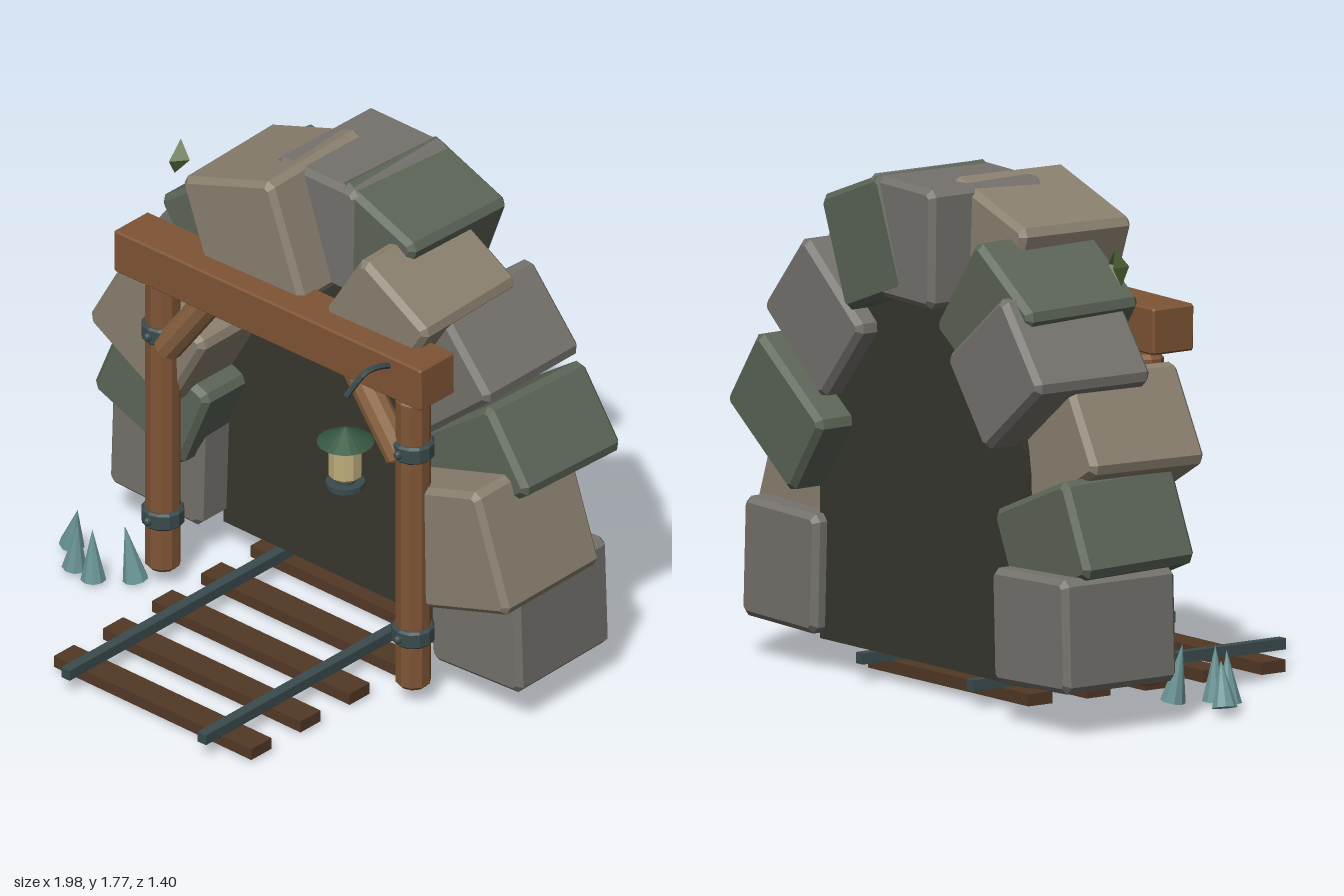
import * as THREE from 'three';

const mat = (color, extra = {}) =>
  new THREE.MeshStandardMaterial({ color, flatShading: true, ...extra });
const M = {
  tan: mat(0x8a806f), grey: mat(0x75726d), green: mat(0x5c6457),
  wood: mat(0x7f5435), brace: mat(0x8a6341), sleeper: mat(0x523826),
  metal: mat(0x3b4b4d), dark: mat(0x37372f), glow: mat(0xbfae7c),
  roof: mat(0x35573f), crystal: mat(0x6a9496),
  leaf: mat(0x566b3c, { side: THREE.DoubleSide }),
};

function add(parent, name, geometry, material, x = 0, y = 0, z = 0) {
  const mesh = new THREE.Mesh(geometry, material);
  mesh.name = name;
  mesh.position.set(x, y, z);
  parent.add(mesh);
  return mesh;
}

// Box with every edge chamfered, centred on its origin
function chamferBox(w, h, d, c) {
  const a = w / 2 - c, b = h / 2 - c, k = c * 0.6;
  const shape = new THREE.Shape([
    [-a + k, -b], [a - k, -b], [a, -b + k], [a, b - k],
    [a - k, b], [-a + k, b], [-a, b - k], [-a, -b + k],
  ].map(p => new THREE.Vector2(...p)));
  const g = new THREE.ExtrudeGeometry(shape, {
    depth: d - 2 * c, bevelEnabled: true, bevelSegments: 1, bevelSize: c, bevelThickness: c,
  });
  return g.translate(0, 0, c - d / 2);
}

// Round log with chamfered ends, centred on its origin
function log(r, h, sides, c) {
  const pts = [[0, -h / 2], [r - c, -h / 2], [r, c - h / 2], [r, h / 2 - c], [r - c, h / 2], [0, h / 2]];
  return new THREE.LatheGeometry(pts.map(p => new THREE.Vector2(...p)), sides);
}

// Turn a mesh built along y so that it runs from a to b
function aim(mesh, a, b) {
  mesh.position.copy(a).add(b).multiplyScalar(0.5);
  mesh.quaternion.setFromUnitVectors(new THREE.Vector3(0, 1, 0), b.clone().sub(a).normalize());
}

export function createModel() {
  const root = new THREE.Group();
  root.name = 'mineEntrance';

  // Arch stones: x, y, z centre, width, height, roll in degrees, colour
  const arch = new THREE.Group();
  arch.name = 'stoneArch';
  root.add(arch);
  [
    [0.75, 0.34, -0.38, 0.40, 0.41, 2, 'grey'],
    [0.73, 0.66, -0.29, 0.41, 0.45, 18, 'tan'],
    [0.666, 0.885, -0.455, 0.46, 0.33, 36, 'green'],
    [0.525, 1.22, -0.405, 0.43, 0.36, 40, 'grey'],
    [0.375, 1.39, -0.28, 0.41, 0.35, 58, 'tan'],
    [0.20, 1.53, -0.435, 0.40, 0.37, 70, 'green'],
    [-0.01, 1.56, -0.435, 0.38, 0.41, 1, 'grey'],
    [-0.21, 1.50, -0.275, 0.43, 0.45, 19, 'tan'],
    [-0.435, 1.35, -0.405, 0.38, 0.41, 36, 'green'],
    [-0.56, 1.19, -0.45, 0.37, 0.42, 52, 'grey'],
    [-0.665, 0.945, -0.30, 0.42, 0.37, -30, 'tan'],
    [-0.735, 0.635, -0.39, 0.43, 0.34, -22, 'green'],
    [-0.77, 0.345, -0.46, 0.42, 0.39, -2, 'grey'],
  ].forEach(([x, y, z, w, h, roll, colour], i) => {
    const stone = add(arch, 'archStone', chamferBox(w, h, 0.47, 0.02), M[colour], x, y, z);
    stone.rotation.set(0.02 * Math.sin(i * 2.1), 0.025 * Math.cos(i * 1.7), THREE.MathUtils.degToRad(roll));
  });

  // Dark tunnel filling the arch
  const hole = new THREE.Shape();
  hole.moveTo(-0.58, 0.11);
  hole.lineTo(0.58, 0.11);
  hole.lineTo(0.58, 0.75);
  hole.absellipse(0, 0.75, 0.58, 0.66, 0, Math.PI, false);
  hole.lineTo(-0.58, 0.11);
  add(root, 'tunnelFill', new THREE.ExtrudeGeometry(hole, { depth: 0.2, bevelEnabled: false, curveSegments: 12 }),
    M.dark, 0, 0, -0.56);

  // Timber frame: posts with iron bands and bolts, braces, lintel
  const frame = new THREE.Group();
  frame.name = 'timberFrame';
  root.add(frame);
  for (const side of [-1, 1]) {
    const x = side * 0.57 - 0.01;
    add(frame, 'post', log(0.061, 1.13, 10, 0.015), M.wood, x, 0.635, -0.06);
    for (const y of [0.275, 0.997]) {
      add(frame, 'band', log(0.074, 0.065, 12, 0.008), M.metal, x, y, -0.06);
      add(frame, 'bolt', new THREE.SphereGeometry(0.016, 8, 6), M.metal, x, y, 0.015);
    }
    const brace = add(frame, 'brace', log(0.052, 0.4, 10, 0.008), M.brace);
    aim(brace, new THREE.Vector3(side * 0.53, 0.96, -0.03), new THREE.Vector3(side * 0.30, 1.27, -0.03));
  }
  const lintel = add(frame, 'lintel', chamferBox(1.4, 0.16, 0.17, 0.006), M.wood, -0.01, 1.303, -0.04);
  lintel.rotation.z = 0.011;

  // Track
  const track = new THREE.Group();
  track.name = 'track';
  root.add(track);
  for (let i = 0; i < 5; i++)
    add(track, 'sleeper', new THREE.BoxGeometry(0.9, 0.042, 0.1), M.sleeper, -0.01, 0.04, 0.563 - i * 0.244);
  for (const x of [-0.322, 0.299])
    add(track, 'rail', new THREE.BoxGeometry(0.038, 0.038, 1.31), M.metal, x, 0.087, 0.05);

  // Lantern and its hook
  const lantern = new THREE.Group();
  lantern.name = 'lantern';
  lantern.position.set(0.485, 0, 0.195);
  root.add(lantern);
  add(lantern, 'lanternBase', new THREE.CylinderGeometry(0.066, 0.066, 0.02, 16), M.metal, 0, 0.937, 0);
  add(lantern, 'lanternCollar', new THREE.CylinderGeometry(0.035, 0.035, 0.03, 12), M.metal, 0, 0.955, 0);
  add(lantern, 'lanternGlass', log(0.057, 0.16, 10, 0.015), M.glow, 0, 1.04, 0);
  add(lantern, 'lanternRoof', new THREE.ConeGeometry(0.097, 0.058, 20), M.roof, 0, 1.13, 0);
  const hook = new THREE.CatmullRomCurve3([
    [0.545, 1.35, 0.03], [0.543, 1.372, 0.1], [0.535, 1.37, 0.15], [0.49, 1.28, 0.195],
  ].map(p => new THREE.Vector3(...p)));
  add(root, 'lanternHook', new THREE.TubeGeometry(hook, 10, 0.011, 6), M.metal);

  // Crystals: base x, y, z and tip x, y, z
  [
    [-0.94, 0.035, 0.0, -0.90, 0.19, 0.015],
    [-0.845, 0.025, 0.09, -0.825, 0.205, 0.095],
    [-0.75, 0.02, 0.1, -0.755, 0.21, 0.1],
    [-0.65, 0.015, 0.0, -0.685, 0.215, 0.015],
  ].forEach(([x, y, z, u, v, w]) => {
    const a = new THREE.Vector3(x, y, z), b = new THREE.Vector3(u, v, w);
    aim(add(root, 'crystal', new THREE.ConeGeometry(0.044, a.distanceTo(b), 9), M.crystal), a, b);
  });

  // Small folded leaf
  const leaf = new THREE.BufferGeometry();
  leaf.setAttribute('position', new THREE.Float32BufferAttribute([
    -0.70, 1.595, -0.28, -0.71, 1.465, -0.26, -0.73, 1.535, -0.31, -0.65, 1.535, -0.27, -0.70, 1.53, -0.22,
  ], 3));
  leaf.setIndex([0, 2, 4, 2, 1, 4, 0, 4, 3, 4, 1, 3]);
  leaf.computeVertexNormals();
  add(root, 'leaf', leaf, M.leaf);

  return root;
}
